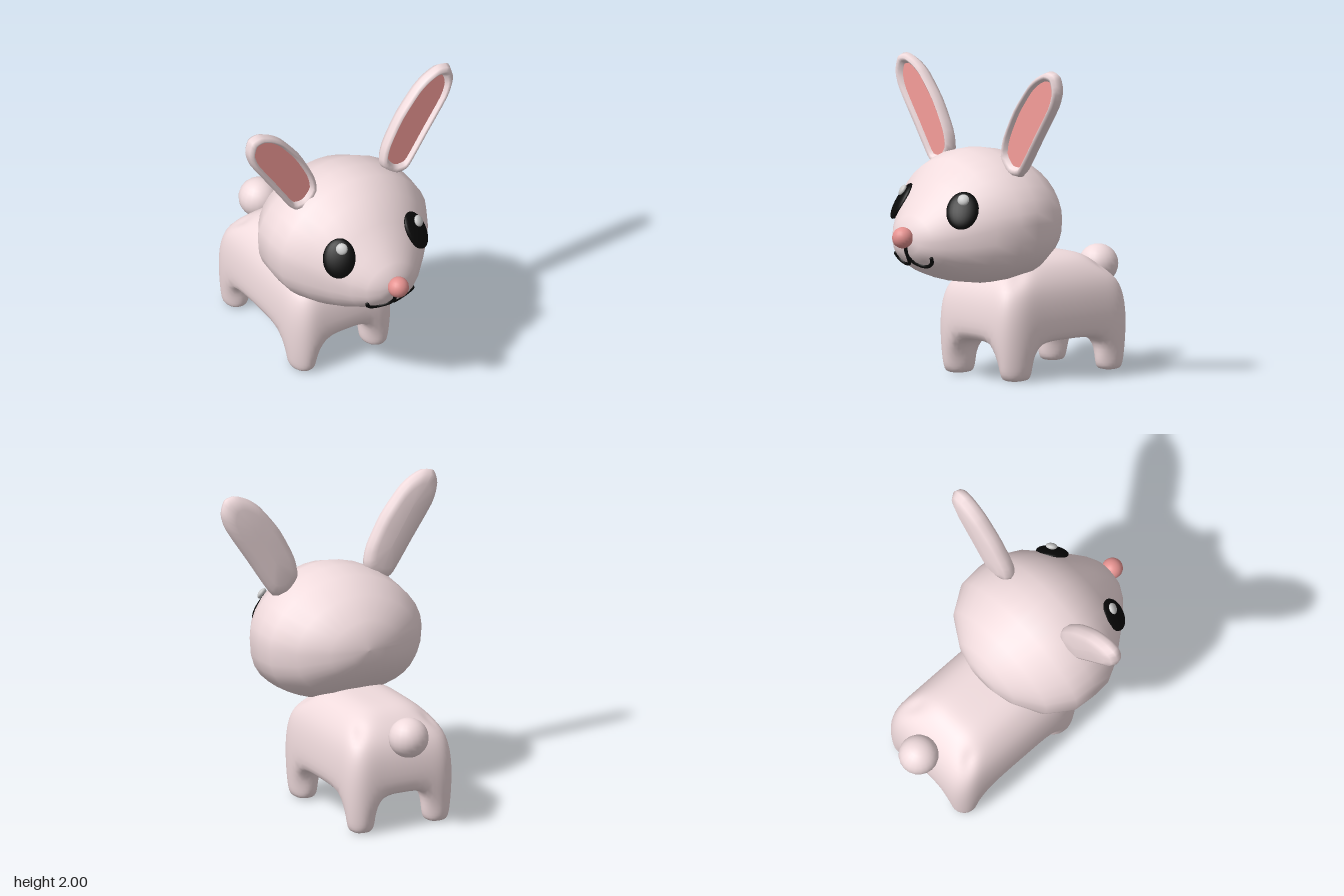
import * as THREE from 'three';

const CX = -0.03; // shared centre line of head and body
const mat = (color) => new THREE.MeshStandardMaterial({ color });
const fur = mat(0xf0dbdd), pink = mat(0xe59290), earPink = mat(0xf59d99), black = mat(0x090909), grey = mat(0xcccccc);

function add(group, name, geometry, material, x = 0, y = 0, z = 0) {
  const mesh = new THREE.Mesh(geometry, material);
  mesh.name = name;
  mesh.position.set(x, y, z);
  group.add(mesh);
  return mesh;
}

function indexed(points, index) {
  const g = new THREE.BufferGeometry();
  g.setAttribute('position', new THREE.Float32BufferAttribute(points.flat(), 3));
  g.setIndex(index);
  g.computeVertexNormals();
  return g;
}

// Skin closed rings of equal length (counter-clockwise, back to front)
function loft(rings) {
  const n = rings[0].length, index = [];
  for (let r = 0; r < rings.length - 1; r++) {
    for (let i = 0; i < n; i++) {
      const a = r * n + i, b = r * n + (i + 1) % n;
      index.push(a, b, b + n, a, b + n, a + n);
    }
  }
  return indexed(rings.flat(), index);
}

// Head sections: z, half width, top, bottom
const HEAD = [
  [-0.26, 0, 1.03, 1.03], [-0.25, 0.12, 1.12, 0.94], [-0.21, 0.25, 1.21, 0.85],
  [-0.1, 0.425, 1.34, 0.72], [0.06, 0.53, 1.425, 0.645], [0.2, 0.54, 1.45, 0.625],
  [0.33, 0.53, 1.445, 0.62], [0.47, 0.455, 1.4, 0.64], [0.6, 0.345, 1.265, 0.685],
  [0.7, 0.255, 1.155, 0.735], [0.77, 0.18, 1.075, 0.785], [0.81, 0.11, 1.015, 0.84],
  [0.825, 0, 0.93, 0.93],
];
const UPPER = 1.88, LOWER = 2.5; // roundness of the section halves
const midY = (top, bottom) => bottom + 0.48 * (top - bottom);

function headGeometry() {
  return loft(HEAD.map(([z, w, top, bottom]) => {
    const mid = midY(top, bottom);
    return Array.from({ length: 32 }, (_, i) => {
      const a = i / 32 * Math.PI * 2, c = Math.cos(a), s = Math.sin(a);
      const p = 2 / (s > 0 ? UPPER : LOWER);
      const h = s > 0 ? top - mid : mid - bottom;
      return [Math.sign(c) * Math.abs(c) ** p * w, mid + Math.sign(s) * Math.abs(s) ** p * h, z];
    });
  }));
}

// Front surface depth of the head at a given spot
function headZ(x, y) {
  for (let z = 0.82; z > 0.3; z -= 0.002) {
    const k = HEAD.findIndex((r) => r[0] > z), A = HEAD[k - 1], B = HEAD[k];
    const t = (z - A[0]) / (B[0] - A[0]);
    const [, w, top, bottom] = A.map((v, i) => v + (B[i] - v) * t);
    const mid = midY(top, bottom), up = y > mid, e = up ? UPPER : LOWER;
    const h = up ? top - mid : mid - bottom;
    if (Math.abs(x / w) ** e + Math.abs((y - mid) / h) ** e <= 1) return z;
  }
  return 0.3;
}

// One round of Catmull-Clark smoothing on a closed quad mesh
function subdivide({ points, quads }) {
  const mean = (list) => [0, 1, 2].map((k) => list.reduce((s, p) => s + p[k], 0) / list.length);
  const out = points.map(() => null), edges = new Map(), next = [];
  const around = points.map(() => ({ faces: [], mids: [] }));
  const facePoints = quads.map((q) => mean(q.map((v) => points[v])));
  const key = (a, b) => Math.min(a, b) + '_' + Math.max(a, b);
  quads.forEach((q, f) => q.forEach((a, i) => {
    const b = q[(i + 1) % 4], k = key(a, b);
    around[a].faces.push(facePoints[f]);
    if (!edges.has(k)) edges.set(k, { a, b, faces: [] });
    edges.get(k).faces.push(facePoints[f]);
  }));
  for (const e of edges.values()) {
    const mid = mean([points[e.a], points[e.b]]);
    around[e.a].mids.push(mid);
    around[e.b].mids.push(mid);
    e.id = out.push(mean([points[e.a], points[e.b], ...e.faces])) - 1;
  }
  points.forEach((p, v) => {
    const n = around[v].faces.length, F = mean(around[v].faces), M = mean(around[v].mids);
    out[v] = p.map((c, k) => (F[k] + 2 * M[k] + (n - 3) * c) / n);
  });
  quads.forEach((q, f) => {
    const c = out.push(facePoints[f]) - 1;
    q.forEach((a, i) => next.push([a, edges.get(key(a, q[(i + 1) % 4])).id, c, edges.get(key(q[(i + 3) % 4], a)).id]));
  });
  return { points: out, quads: next };
}

// Block body with four legs, rounded off by subdivision
function bodyGeometry() {
  const X = [-0.37, -0.27, -0.16, 0, 0.16, 0.27, 0.37];
  const Y = [0.005, 0.1, 0.235, 0.42, 0.58, 0.75];
  const Z = [-0.52, -0.42, -0.3, 0, 0.25, 0.38, 0.52];
  const taper = [0.97, 0.98, 1, 1, 0.92, 0.7];
  const drop = [0.06, 0.02, 0, 0, 0, 0.02, 0.06]; // domed back
  const leg = (i) => i < 2 || i > 3;
  const solid = ([i, j, k]) => i >= 0 && i < 6 && k >= 0 && k < 6 && j >= 0 && j < 5 &&
    (j > 1 || (leg(i) && leg(k)));
  const place = ([i, j, k]) => {
    // draw corners in towards the leg axis so that legs and flanks become round
    const outer = i % 6 === 0 && k % 6 === 0;
    const corner = i % 2 === 0 && k % 2 === 0 && (j < 2 || outer);
    const pull = (corner ? 0.65 : 1) * (j === 0 ? 0.9 : 1);
    const cx = X[i < 3 ? 1 : 5], cz = Z[k < 3 ? 1 : 5];
    const toward = (v, c) => (pull < 1 ? c + (v - c) * pull : v) * taper[j];
    return [toward(X[i], cx), Y[j] - (j === 5 ? drop[i] + drop[k] : 0), toward(Z[k], cz)];
  };
  const points = [], quads = [], ids = new Map();
  const vertex = (c) => {
    const name = c.join();
    if (!ids.has(name)) ids.set(name, points.push(place(c)) - 1);
    return ids.get(name);
  };
  for (let i = 0; i < 6; i++) for (let j = 0; j < 5; j++) for (let k = 0; k < 6; k++) {
    if (!solid([i, j, k])) continue;
    for (let d = 0; d < 3; d++) for (const s of [0, 1]) {
      const beside = [i, j, k];
      beside[d] += s ? 1 : -1;
      if (solid(beside)) continue;
      const quad = [[0, 0], [1, 0], [1, 1], [0, 1]].map(([u, v]) => {
        const c = [i, j, k];
        c[d] += s;
        c[(d + 1) % 3] += u;
        c[(d + 2) % 3] += v;
        return vertex(c);
      });
      quads.push(s ? quad : quad.reverse());
    }
  }
  const smooth = subdivide(subdivide({ points, quads }));
  return indexed(smooth.points, smooth.quads.flatMap(([a, b, c, d]) => [a, b, c, a, c, d]));
}

// Ear outline: across, along
const EAR = [[0.042, 0.352], [-0.025, 0.373], [-0.091, 0.313], [-0.118, 0.2], [-0.106, -0.065],
  [-0.1, -0.232], [-0.088, -0.345], [-0.008, -0.388], [0.1, -0.35], [0.147, -0.23],
  [0.16, -0.016], [0.132, 0.189], [0.095, 0.282]];

function makeEar(side) {
  const ear = new THREE.Group();
  const curve = new THREE.CatmullRomCurve3(EAR.map(([x, y]) => new THREE.Vector3(x, y, 0)), true, 'catmullrom', 0.35);
  const outline = curve.getPoints(39).slice(0, 39);
  const ring = ([inset, z]) => {
    const pts = outline.map((p) => [-side * (0.02 + (p.x - 0.02) * (1 - inset / 0.17)),
      -0.04 + (p.y + 0.04) * (1 - inset / 0.27), z]);
    return side > 0 ? pts.reverse() : pts;
  };
  add(ear, 'earShell', loft([[0.17, -0.052], [0.06, -0.05], [0.018, -0.034], [0, 0], [0.008, 0.035],
    [0.022, 0.052], [0.036, 0.042], [0.052, 0.008]].map(ring)), fur);
  add(ear, 'innerEar', loft([[0.046, 0.018], [0.1, 0.018], [0.17, 0.018]].map(ring)), earPink);
  ear.rotation.z = -side * 0.546;
  return ear;
}

export function createModel() {
  const model = new THREE.Group();
  add(model, 'body', bodyGeometry(), fur, CX, 0, -0.235);
  add(model, 'tail', new THREE.SphereGeometry(0.125, 20, 14), fur, CX, 0.62, -0.785);
  add(model, 'head', headGeometry(), fur, CX);
  add(model, 'nose', new THREE.SphereGeometry(0.066, 20, 14), pink, CX + 0.003, 0.945, 0.85);

  // Ears, one slightly longer
  for (const side of [-1, 1]) {
    const ear = makeEar(side);
    ear.name = side > 0 ? 'leftEar' : 'rightEar';
    ear.position.set(side > 0 ? 0.5 : -0.515, side > 0 ? 1.665 : 1.65, 0.225);
    if (side > 0) ear.scale.set(1.04, 1.04, 1);
    model.add(ear);
  }

  // Eyes with highlights
  for (const side of [-1, 1]) {
    const name = side > 0 ? 'left' : 'right';
    const normal = new THREE.Vector3(side * 0.516, 0.5, 0.68).normalize();
    const x = CX + side * 0.28 + 0.004, y = 1.12, z = headZ(0.28, y);
    const eye = add(model, name + 'Eye', new THREE.SphereGeometry(1, 24, 16), black, x, y, z);
    eye.scale.set(0.102, 0.126, 0.036);
    eye.lookAt(eye.position.clone().add(normal));
    const shine = add(model, name + 'EyeHighlight', new THREE.SphereGeometry(1, 16, 12), grey,
      x + 0.015, y + 0.07, z + 0.007);
    shine.scale.set(0.037, 0.037, 0.02);
    shine.lookAt(shine.position.clone().add(normal));
  }

  // Mouth: a short stem and two curls lying on the muzzle
  const line = (name, pts) => {
    const curve = new THREE.CatmullRomCurve3(pts.map(([x, y]) => new THREE.Vector3(CX + x, y, headZ(x, y) + 0.006)));
    add(model, name, new THREE.TubeGeometry(curve, 24, 0.012, 8), black);
    for (const p of [pts[0], pts[pts.length - 1]]) {
      add(model, name + 'End', new THREE.SphereGeometry(0.012, 10, 8), black, CX + p[0], p[1], headZ(...p) + 0.006);
    }
  };
  line('mouthStem', [[0, 0.88], [0, 0.85], [0, 0.82]]);
  for (const side of [-1, 1]) {
    line(side > 0 ? 'mouthLeft' : 'mouthRight', [[0, 0.825], [0.012, 0.795], [0.045, 0.77], [0.085, 0.762],
      [0.128, 0.773], [0.155, 0.797], [0.165, 0.822]].map(([x, y]) => [x * side, y]));
  }
  return model;
}
